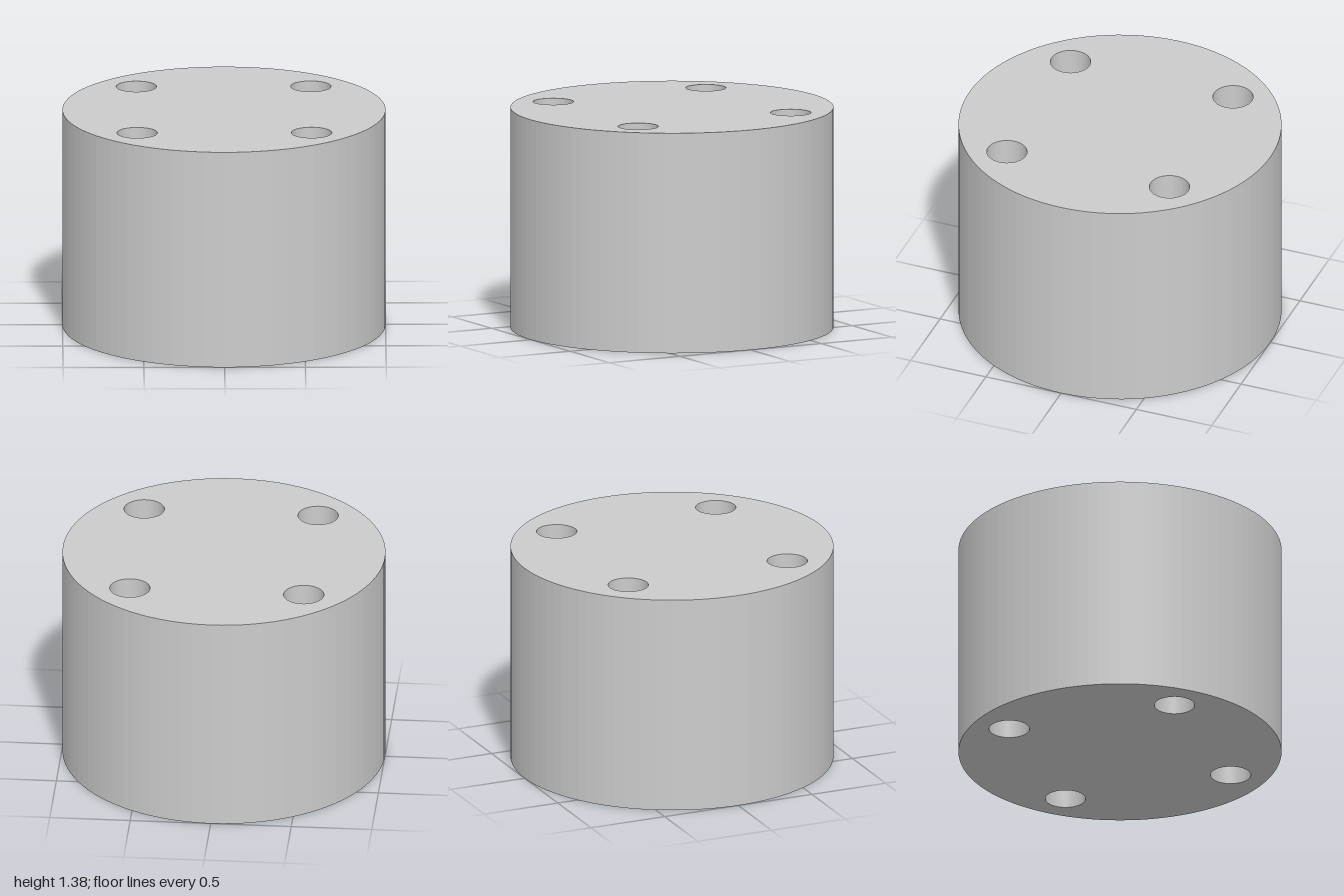
import * as THREE from 'three';

const RADIUS = 1, HEIGHT = 1.38;
const HOLE_RADIUS = 0.125, HOLE_OFFSET = 0.54;

export function createModel() {
  const group = new THREE.Group();
  group.name = 'drilledCylinder';

  // Round outline
  const outline = new THREE.Shape();
  outline.absarc(0, 0, RADIUS, 0, Math.PI * 2, false);

  // Four through holes on a square pattern
  for (const sx of [-1, 1]) {
    for (const sy of [-1, 1]) {
      const hole = new THREE.Path();
      hole.absarc(sx * HOLE_OFFSET, sy * HOLE_OFFSET, HOLE_RADIUS, 0, Math.PI * 2, true);
      outline.holes.push(hole);
    }
  }

  // Solid body, extruded upwards from the ground with fine flat facets
  const geometry = new THREE.ExtrudeGeometry(outline, {
    depth: HEIGHT, bevelEnabled: false, curveSegments: 48,
  });
  geometry.rotateX(-Math.PI / 2);

  const body = new THREE.Mesh(
    geometry,
    new THREE.MeshStandardMaterial({ color: 0xcccccc, flatShading: true }),
  );
  body.name = 'body';
  group.add(body);
  return group;
}
